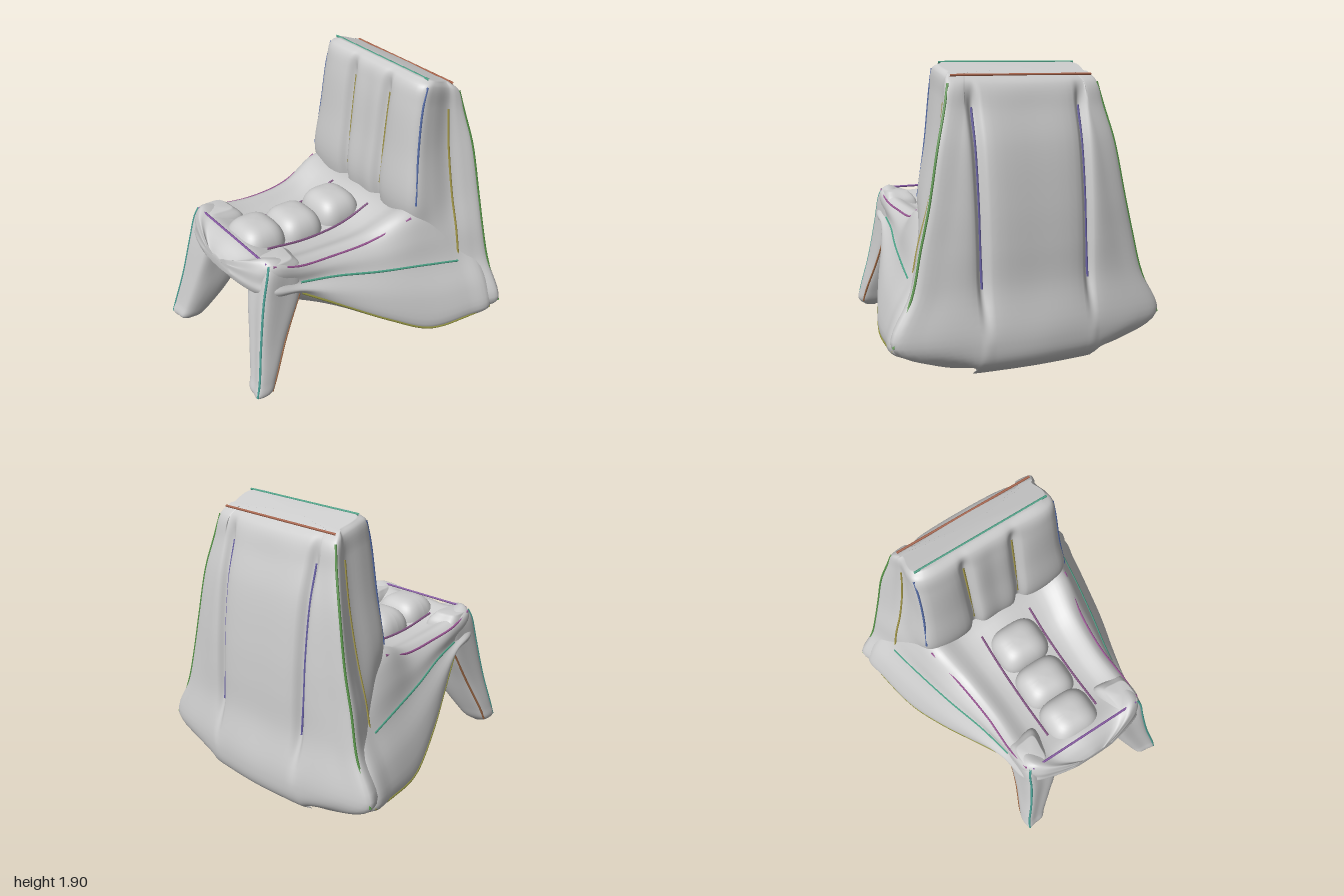
import * as THREE from 'three';

const V = (x, y, z) => new THREE.Vector3(x, y, z);
const grey = new THREE.MeshStandardMaterial({ color: 0xcccccc });

// Smooth closed skin through key cross-sections (same point count in each)
function loft(keys, steps = 6, sub = 5) {
  const n = keys[0].length, tracks = [];
  for (let i = 0; i < n; i++) tracks.push(new THREE.CatmullRomCurve3(keys.map(k => k[i])));
  const rings = (keys.length - 1) * steps + 1, m = n * sub, pos = [], idx = [];
  for (let r = 0; r < rings; r++) {
    const section = new THREE.CatmullRomCurve3(tracks.map(t => t.getPoint(r / (rings - 1))), true);
    for (let j = 0; j < m; j++) pos.push(...section.getPoint(j / m).toArray());
  }
  for (let r = 0; r < rings - 1; r++) for (let j = 0; j < m; j++) {
    const a = r * m + j, b = r * m + (j + 1) % m;
    idx.push(a, b, a + m, b, b + m, a + m);
  }
  // end caps
  [0, rings - 1].forEach((r, e) => {
    const c = V(0, 0, 0), id = pos.length / 3;
    keys[e ? keys.length - 1 : 0].forEach(p => c.addScaledVector(p, 1 / n));
    pos.push(c.x, c.y, c.z);
    for (let j = 0; j < m; j++) {
      const a = r * m + j, b = r * m + (j + 1) % m;
      e ? idx.push(a, b, id) : idx.push(b, a, id);
    }
  });
  // turn the faces outward when the enclosed volume is negative
  const p = i => V().fromArray(pos, idx[i] * 3);
  let volume = 0;
  for (let i = 0; i < idx.length; i += 3) volume += p(i).dot(p(i + 1).cross(p(i + 2)));
  if (volume < 0) idx.reverse();
  const g = new THREE.BufferGeometry();
  g.setAttribute('position', new THREE.Float32BufferAttribute(pos, 3));
  g.setIndex(idx);
  g.computeVertexNormals();
  return g;
}

// Completes a half outline whose first and last points lie on x = 0
const mirror = half => [...half, ...half.slice(1, -1).reverse().map(p => V(-p.x, p.y, p.z))];

// Seat and flared base: z, top width, top y, crease width, crease y, bottom width, bottom y, middle underside y
const base = [
  [0.89, 0.12, 0.87, 0.13, 0.82, 0.12, 0.77, 0.76],
  [0.86, 0.25, 0.91, 0.27, 0.82, 0.25, 0.74, 0.72],
  [0.81, 0.38, 0.95, 0.41, 0.82, 0.38, 0.72, 0.69],
  [0.74, 0.45, 0.97, 0.46, 0.82, 0.45, 0.70, 0.65],
  [0.55, 0.47, 0.91, 0.48, 0.76, 0.49, 0.68, 0.45],
  [0.30, 0.47, 0.88, 0.53, 0.73, 0.60, 0.53, 0.37],
  [0.00, 0.50, 0.89, 0.61, 0.68, 0.73, 0.35, 0.24],
  [-0.30, 0.56, 0.99, 0.68, 0.64, 0.83, 0.20, 0.10],
  [-0.60, 0.55, 0.94, 0.74, 0.59, 0.89, 0.20, 0.02],
  [-0.79, 0.50, 0.80, 0.76, 0.55, 0.91, 0.21, 0.005],
  [-0.87, 0.28, 0.36, 0.42, 0.28, 0.58, 0.20, 0.06]];
const baseSection = ([z, wt, yt, wc, yc, wb, yb, ym]) => mirror([
  V(0, yt - 0.03, z), V(wt * 0.6, yt - 0.045, z), V(wt * 0.88, yt, z), V(wt, yt - 0.03, z),
  V((wt + wc) / 2 + 0.01, (yt + yc) / 2, z), V(wc, yc, z),
  V((wc + wb) / 2 + 0.035, (yc + yb) / 2, z), V(wb, yb, z),
  V(wb * 0.85, yb + (ym - yb) * 0.35, z), V(wb * 0.45, yb + (ym - yb) * 0.85, z), V(0, ym, z)]);

// Backrest: y, front width, front z, side seam width, back width, back edge z, back middle z, groove depth
const back = [
  [1.90, 0.48, -0.45, 0.47, 0.48, -0.64, -0.66, 0],
  [1.86, 0.505, -0.39, 0.50, 0.515, -0.70, -0.73, 0.01],
  [1.72, 0.51, -0.355, 0.51, 0.55, -0.73, -0.78, 0.05],
  [1.40, 0.53, -0.32, 0.54, 0.61, -0.77, -0.84, 0.05],
  [1.05, 0.57, -0.29, 0.61, 0.68, -0.80, -0.89, 0.05],
  [0.80, 0.56, -0.34, 0.68, 0.74, -0.81, -0.91, 0.05],
  [0.55, 0.60, -0.42, 0.73, 0.80, -0.83, -0.925, 0.04],
  [0.25, 0.72, -0.48, 0.85, 0.93, -0.85, -0.985, 0],
  [0.10, 0.50, -0.50, 0.58, 0.65, -0.83, -0.965, 0],
  [0.02, 0.25, -0.60, 0.28, 0.30, -0.77, -0.87, 0]];
const backSection = ([y, wf, zf, ws, wb, zb, zm, g]) => {
  const P = (x, z) => V(x, y - (y > 1.6 ? 0.35 * Math.max(0, -z - 0.45) : 0), z);
  return mirror([P(0, zf), P(0.12, zf), P(0.18, zf - g), P(0.24, zf), P(wf * 0.88, zf),
    P(wf, zf - 0.04), P((wf + ws) / 2 + 0.01, (zf - 0.62) / 2), P(ws, -0.62),
    P((ws + wb) / 2 + 0.01, (zb - 0.62) / 2), P(wb, zb),
    P(wb * 0.8, zb * 0.55 + zm * 0.45), P(0.42, zm + 0.03), P(0.37, zm + 0.02 + g), P(0.31, zm + 0.015), P(0, zm)]);
};

// Front legs, flush with the apron: y, inner x, outer x, rear z, front z, swelling of the inner rear
const leg = [
  [0.945, 0.30, 0.45, 0.58, 0.76, 0],
  [0.88, 0.26, 0.47, 0.52, 0.785, 0],
  [0.70, 0.25, 0.485, 0.53, 0.83, 0.02],
  [0.40, 0.33, 0.525, 0.68, 0.89, 0.06],
  [0.15, 0.41, 0.575, 0.80, 0.945, 0.04],
  [0.06, 0.44, 0.585, 0.84, 0.97, 0.02],
  [0.02, 0.47, 0.54, 0.87, 0.94, 0]];
const legSection = s => ([y, xi, xo, zb, zf, b]) => {
  const xm = (xi + xo) / 2, zm = (zb + zf) / 2, k = 0.015;
  return [[xi - b * 0.6, zm], [xi + k, zf - k], [xm, zf - 0.005], [xo - k, zf], [xo, zm],
    [xo - k, zb + k], [xm, zb - b * 0.5], [xi - b * 0.8, zb - b]].map(([x, z]) => V(x * s, y, z));
};

// Puffed square pillow: a sphere with its sides pushed outward
function pillow(w, h, d) {
  const g = new THREE.SphereGeometry(1, 40, 24), p = g.attributes.position;
  const puff = v => Math.sign(v) * Math.abs(v) ** 0.65;
  for (let i = 0; i < p.count; i++) p.setXYZ(i, puff(p.getX(i)) * w, p.getY(i) * h, puff(p.getZ(i)) * d);
  g.computeVertexNormals();
  return g;
}

export function createModel() {
  const group = new THREE.Group();
  const add = (name, geometry, material = grey) => {
    const mesh = new THREE.Mesh(geometry, material);
    mesh.name = name;
    group.add(mesh);
    return mesh;
  };
  add('seatAndBase', loft(base.map(baseSection)));
  add('backrest', loft(back.map(backSection)));
  for (const s of [1, -1]) add(s > 0 ? 'leftFrontLeg' : 'rightFrontLeg', loft(leg.map(legSection(s))));

  // Three puffed seat cushions
  [[-0.04, 1.01], [0.28, 0.98], [0.58, 1.0]].forEach(([z, top], i) =>
    add('seatCushion' + (i + 1), pillow(0.19, 0.16, 0.17)).position.set(0, top - 0.16, z));

  // Thin coloured seams along the edges and grooves
  const seam = (name, points, color) => add(name, new THREE.TubeGeometry(
    new THREE.CatmullRomCurve3(points), 32, 0.008, 5), new THREE.MeshStandardMaterial({ color }));
  const along = (rows, section, from, to, i) => rows.slice(from, to).map(r => section(r)[i]);
  const seams = {
    seatEdgeSeam: [along(base, baseSection, 3, 8, 3), 0xa05a9a],
    sideCreaseSeam: [along(base, baseSection, 4, 9, 5), 0x4fa88c],
    bottomEdgeSeam: [along(base, baseSection, 4, 10, 7), 0x9a9a45],
    backFrontEdgeSeam: [along(back, backSection, 1, 5, 5), 0x5a72b0],
    backSideSeam: [along(back, backSection, 2, 7, 7), 0xa89c4a],
    backRearEdgeSeam: [along(back, backSection, 1, 8, 9), 0x5a9a4a],
    frontGrooveSeam: [along(back, backSection, 2, 5, 2), 0xa89c4a],
    rearGrooveSeam: [along(back, backSection, 2, 7, 12), 0x6a62a8],
    legFrontSeam: [along(leg, legSection(1), 0, 6, 3), 0x4fa89c],
    legRearSeam: [along(leg, legSection(1), 2, 6, 5), 0xa8704a],
    cushionSideSeam: [[V(0.2, 0.93, -0.22), V(0.2, 0.86, 0), V(0.2, 0.845, 0.3), V(0.2, 0.89, 0.62)], 0x8a5a8a],
  };
  for (const [name, [points, color]] of Object.entries(seams))
    for (const s of [1, -1]) seam(name, points.map(p => V(p.x * s, p.y, p.z)), color);
  const across = (name, w, y, z, color) => seam(name, [V(-w, y, z), V(w, y, z)], color);
  across('topFrontSeam', 0.48, 1.895, -0.46, 0x4fa88c);
  across('topRearSeam', 0.49, 1.82, -0.67, 0xb06a50);
  across('apronLowerSeam', 0.25, 0.705, 0.82, 0x4fa88c);
  across('apronUpperSeam', 0.42, 0.95, 0.765, 0x8a5aa8);
  return group;
}
